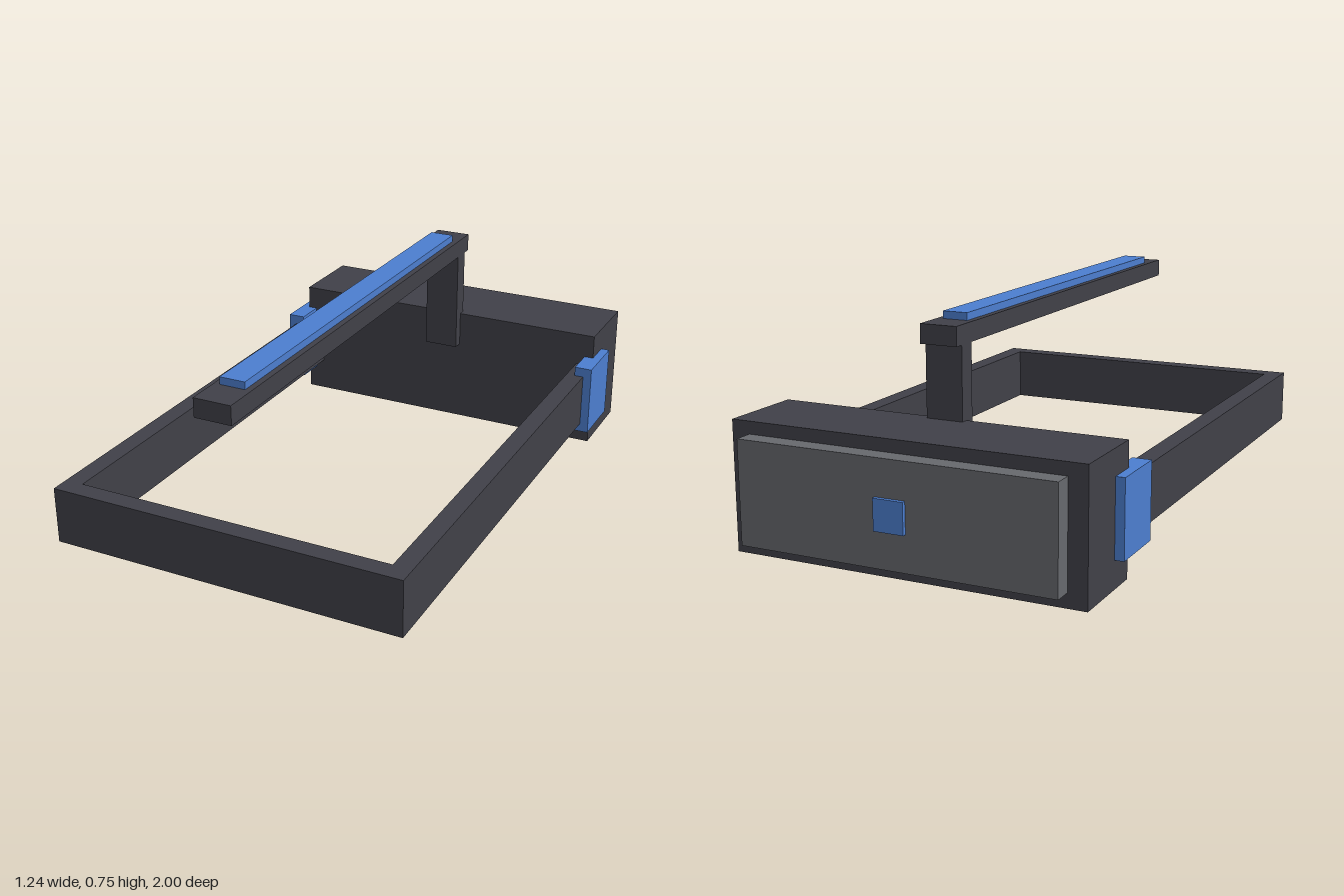
import * as THREE from 'three';

const mat = (name, color) => {
  const m = new THREE.MeshStandardMaterial({ color });
  m.name = name;
  return m;
};

export function createModel() {
  const dark = mat('charcoal', 0x404048);
  const grey = mat('grey', 0x66686d);
  const blue = mat('blue', 0x4c7ecf);

  const model = new THREE.Group();
  model.name = 'headset';

  // Box given by its [min, max] extents on each axis
  const box = (name, material, [x0, x1], [y0, y1], [z0, z1]) => {
    const mesh = new THREE.Mesh(new THREE.BoxGeometry(x1 - x0, y1 - y0, z1 - z0), material);
    mesh.position.set((x0 + x1) / 2, (y0 + y1) / 2, (z0 + z1) / 2);
    mesh.name = name;
    model.add(mesh);
  };

  // Housing with its cover plate and sensor
  box('housing', dark, [-0.592, 0.592], [0, 0.424], [-0.925, -0.635]);
  box('coverPlate', grey, [-0.53, 0.53], [0.047, 0.383], [-0.987, -0.925]);
  box('sensor', blue, [-0.05, 0.05], [0.165, 0.265], [-1, -0.987]);

  // Side straps and their clips, mirrored
  for (const [side, s] of [['left', 1], ['right', -1]]) {
    const span = (a, b) => (s > 0 ? [a, b] : [-b, -a]);
    box(side + 'Strap', dark, span(0.53, 0.592), [0.12, 0.307], [-0.635, 0.938]);
    box(side + 'Clip', blue, span(0.56, 0.622), [0.09, 0.34], [-0.735, -0.527]);
  }

  // End strap joining the sides
  box('endStrap', dark, [-0.592, 0.592], [0.12, 0.307], [0.938, 1]);

  // Overhead strap, its post and its pad
  box('overheadPost', dark, [-0.062, 0.062], [0.3, 0.66], [-0.66, -0.598]);
  box('overheadStrap', dark, [-0.062, 0.062], [0.66, 0.722], [-0.692, 1]);
  box('overheadPad', blue, [-0.042, 0.042], [0.722, 0.746], [-0.587, 0.89]);

  return model;
}
